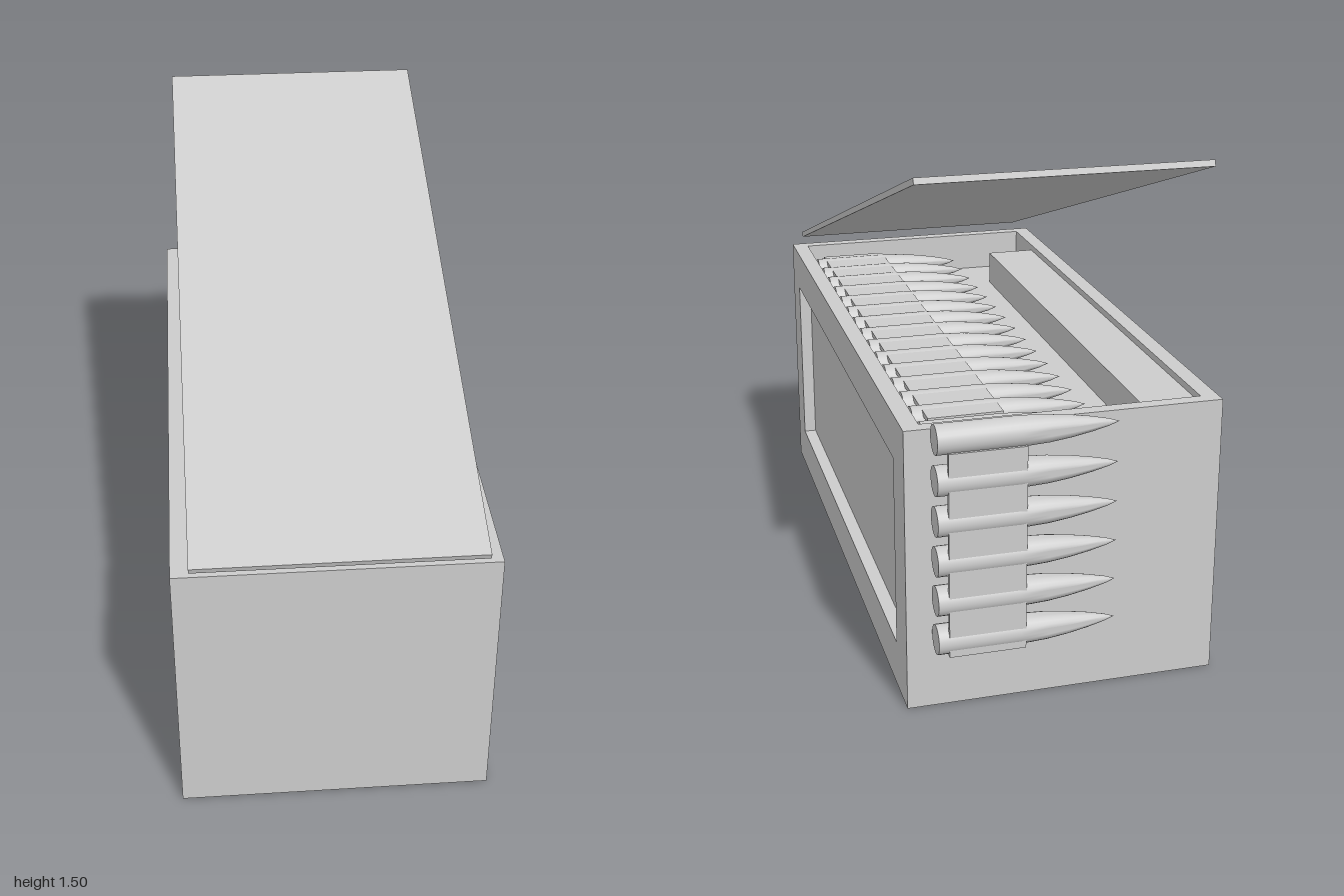
import * as THREE from 'three';
import { toCreasedNormals } from 'three/addons/utils/BufferGeometryUtils.js';

const grey = new THREE.MeshStandardMaterial({ color: 0xcccccc });
grey.name = 'plain grey';

const BACK = -0.905, FRONT = 0.985, TOP = 0.83;

function add(parent, name, geometry, x = 0, y = 0, z = 0) {
  const mesh = new THREE.Mesh(geometry, grey);
  mesh.name = name;
  mesh.position.set(x, y, z);
  parent.add(mesh);
  return mesh;
}

// Box given by its lower and upper limits
function block(parent, name, x0, x1, y0, y1, z0, z1) {
  return add(parent, name, new THREE.BoxGeometry(x1 - x0, y1 - y0, z1 - z0),
    (x0 + x1) / 2, (y0 + y1) / 2, (z0 + z1) / 2);
}

function rect(Type, a0, a1, b0, b1) {
  return new Type([[a0, b0], [a1, b0], [a1, b1], [a0, b1]].map(p => new THREE.Vector2(...p)));
}

// Rectangular frame extruded along z
function frame(outer, inner, depth) {
  const shape = rect(THREE.Shape, ...outer);
  shape.holes.push(rect(THREE.Path, ...inner));
  return new THREE.ExtrudeGeometry(shape, { depth, bevelEnabled: false });
}

// Pointed round, base at the origin, tip along +y
function roundGeometry() {
  const profile = [[0, 0], [0.042, 0], [0.042, 0.23], [0.038, 0.31], [0.031, 0.37],
    [0.021, 0.43], [0.010, 0.48], [0, 0.51]].map(p => new THREE.Vector2(...p));
  return toCreasedNormals(new THREE.LatheGeometry(profile, 24), 0.6);
}

export function createModel() {
  const model = new THREE.Group();
  model.name = 'ammunitionCrate';

  // Crate: solid core, open rim and framed side panels
  const crate = new THREE.Group();
  crate.name = 'crate';
  model.add(crate);
  block(crate, 'crateCore', -0.41, 0.41, 0, 0.70, BACK, FRONT);
  const rim = frame([-0.41, 0.41, -FRONT, -BACK], [-0.40, 0.40, -FRONT + 0.04, -BACK - 0.04], TOP - 0.70);
  rim.rotateX(-Math.PI / 2);
  add(crate, 'crateRim', rim, 0, 0.70, 0);
  for (const side of [-1, 1]) {
    const panel = frame([-FRONT, -BACK, 0, TOP], [-0.855, 0.77, 0.135, 0.70], 0.04);
    panel.rotateY(Math.PI / 2);
    add(crate, side > 0 ? 'leftSideFrame' : 'rightSideFrame', panel, side > 0 ? 0.41 : -0.45, 0, 0);
  }
  block(crate, 'innerLedge', -0.40, -0.24, 0.70, 0.81, BACK + 0.04, 0.75);

  // Propped lid, its rear edge raised
  const lid = add(model, 'lid', new THREE.BoxGeometry(0.81, 0.018, 1.99), 0.005, 1.176, 0.055);
  lid.rotation.x = Math.atan2(0.63, 1.89);

  // Belts of rounds with their link plates
  const geometry = roundGeometry();
  const belt = (name, count, place) => {
    const group = new THREE.Group();
    group.name = name;
    for (let i = 0; i < count; i++) {
      const [y, z] = place(i * 0.117);
      add(group, 'round', geometry, 0.38, y, z).rotation.z = Math.PI / 2;
    }
    model.add(group);
    return group;
  };

  const inside = belt('storedBelt', 15, d => [0.762, -0.79 + d]);
  block(inside, 'linkPlate', 0.135, 0.35, 0.785, 0.80, -0.76, 0.89);

  const hanging = belt('hangingBelt', 6, d => [0.235 + d, -0.957]);
  block(hanging, 'linkPlate', 0.135, 0.35, 0.195, 0.79, -0.994, -0.979);

  return model;
}
